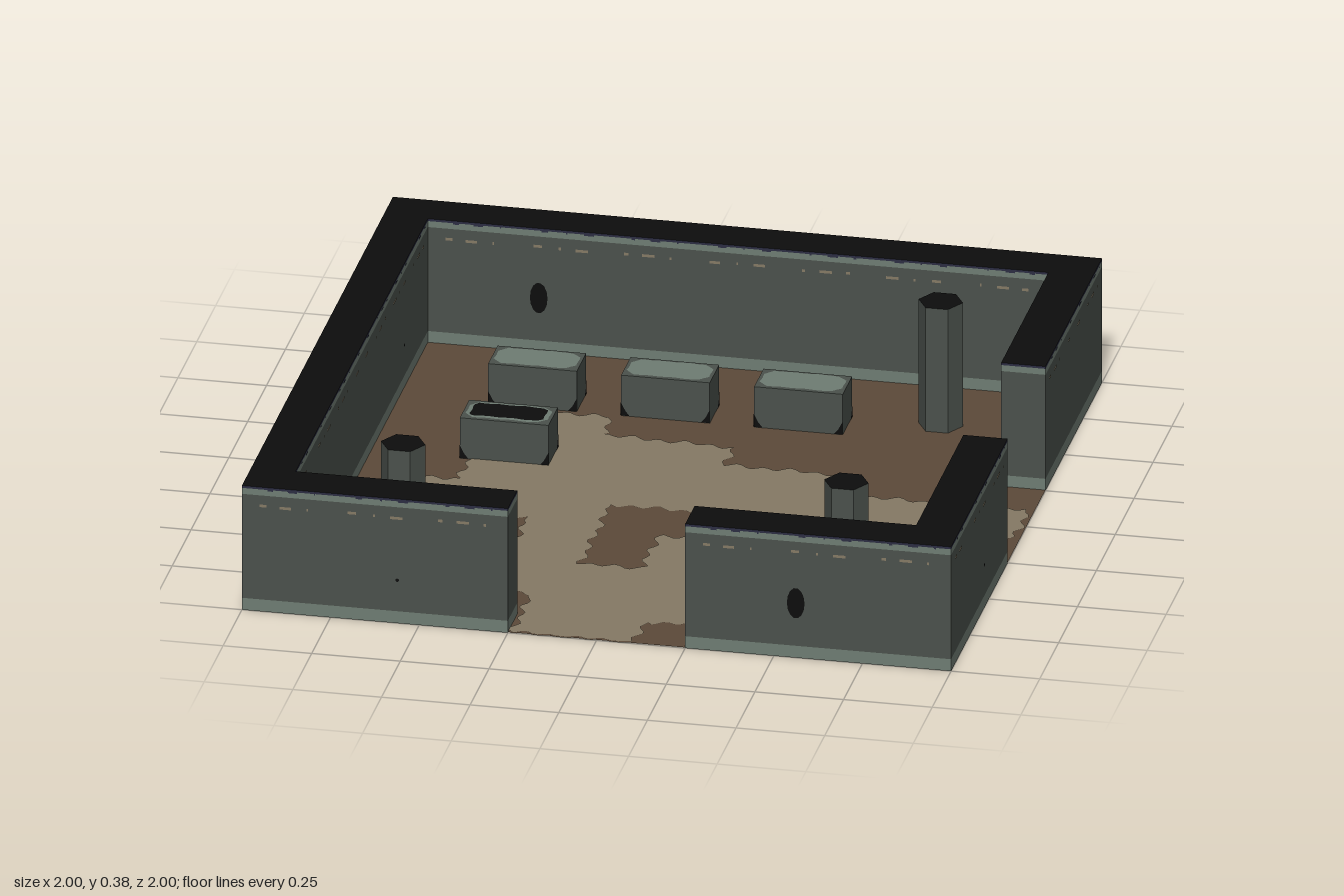
import * as THREE from 'three';
import { mergeGeometries } from 'three/addons/utils/BufferGeometryUtils.js';

const H = 0.375; // wall height

function material(name, color) {
  const m = new THREE.MeshStandardMaterial({ color, side: THREE.DoubleSide, flatShading: true });
  m.name = name;
  return m;
}

// Flat horizontal sheet from [x, z] points, with optional holes
function sheet(points, y, holes = []) {
  const v = (list) => list.map(([x, z]) => new THREE.Vector2(x, -z));
  const shape = new THREE.Shape(v(points));
  holes.forEach((h) => shape.holes.push(new THREE.Path(v(h))));
  return new THREE.ShapeGeometry(shape).rotateX(-Math.PI / 2).translate(0, y, 0);
}

// Vertical faces following a closed [x, z] outline between two heights
function band(points, y0, y1) {
  const pos = [];
  points.forEach(([ax, az], i) => {
    const [bx, bz] = points[(i + 1) % points.length];
    pos.push(ax, y0, az, bx, y0, bz, bx, y1, bz, ax, y0, az, bx, y1, bz, ax, y1, az);
  });
  const g = new THREE.BufferGeometry();
  g.setAttribute('position', new THREE.Float32BufferAttribute(pos, 3));
  g.computeVertexNormals();
  return g;
}

// Turns straight edges into scalloped, worn ones
function worn(points, amount) {
  const out = [];
  points.forEach(([ax, az], i) => {
    const [bx, bz] = points[(i + 1) % points.length];
    const len = Math.hypot(bx - ax, bz - az);
    const n = Math.max(2, Math.round(len / 0.015));
    for (let k = 0; k < n; k++) {
      const t = k / n;
      const w = amount * (Math.sin(t * len * 85 + i * 2) + 0.5 * Math.sin(t * len * 37 + i));
      const x = ax + (bx - ax) * t - ((bz - az) / len) * w;
      const z = az + (bz - az) * t + ((bx - ax) / len) * w;
      out.push([Math.min(x, 1), Math.min(z, 1)]);
    }
  });
  return out;
}

const rect = (w, d, c = 0) => [
  [-w + c, -d], [w - c, -d], [w, -d + c], [w, d - c], [w - c, d], [-w + c, d], [-w, d - c], [-w, -d + c],
];

export function createModel() {
  const model = new THREE.Group();
  model.name = 'stoneChamber';
  const stone = material('stone grey', 0x4b514c);
  const trim = material('pale stone', 0x6f7d73);
  const black = material('black', 0x0d0d0d);
  const earth = material('brown earth', 0x5c4a3a);
  const sand = material('sand', 0x857a65);
  const blue = material('blue grey', 0x4f6c74);
  const slate = material('dark slate', 0x2c2d42);

  const add = (name, geometry, mat, parent = model) => {
    const mesh = new THREE.Mesh(geometry, mat);
    mesh.name = name;
    parent.add(mesh);
    return mesh;
  };

  // Floor, reaching out through the two doorways
  add('floor', sheet([
    [-0.875, -0.875], [0.875, -0.875], [0.875, -0.25], [1, -0.25], [1, 0.25], [0.875, 0.25],
    [0.875, 0.875], [0.25, 0.875], [0.25, 1], [-0.25, 1], [-0.25, 0.875], [-0.875, 0.875],
  ], 0.002), earth);

  // Worn sandy path, seen from above and below
  const path = worn([
    [-0.6, -0.49], [-0.27, -0.48], [-0.27, -0.36], [0.1, -0.35], [0.1, -0.23], [0.48, -0.23],
    [0.48, -0.1], [0.99, -0.1], [0.98, 0.09], [0.73, 0.11], [0.73, 0.35], [0.48, 0.36],
    [0.48, 0.48], [0.23, 0.49], [0.22, 0.85], [0.11, 0.86], [0.1, 1], [-0.24, 1],
    [-0.24, 0.74], [-0.36, 0.73], [-0.36, 0.24], [-0.73, 0.22], [-0.73, 0.03], [-0.6, 0.01],
  ], 0.01);
  const bare = worn([
    [-0.15, 0.1], [0.15, 0.1], [0.15, 0.26], [0.02, 0.28], [0.02, 0.5], [-0.15, 0.51],
  ], 0.01);
  add('pathTop', sheet(path, 0.004, [bare]), sand);
  add('pathUnderside', sheet(path, 0, [bare]), sand);

  // Small stains on the floor
  [
    [0.81, -0.76, 0.024, 0.065, sand], [0.8, -0.815, 0.025, 0.008, sand],
    [0.575, -0.81, 0.02, 0.012, blue], [0.575, -0.815, 0.008, 0.008, sand],
    [-0.835, 0.285, 0.018, 0.024, sand], [-0.83, 0.315, 0.014, 0.02, blue],
    [0.68, 0.7, 0.012, 0.016, blue],
  ].forEach(([x, z, w, d, mat], i) => {
    add('floorStain', sheet(worn(rect(w, d, w * 0.3), 0.002), 0.004 + i * 0.0004).translate(x, 0, z), mat);
  });

  // Hollow walls: a corner piece and a long piece, with doorways between
  const outlines = [
    [[0.25, 1], [1, 1], [1, 0.25], [0.875, 0.25], [0.875, 0.875], [0.25, 0.875]],
    [[-0.25, 1], [-0.25, 0.875], [-0.875, 0.875], [-0.875, -0.875], [0.875, -0.875],
      [0.875, -0.25], [1, -0.25], [1, -1], [-1, -1], [-1, 1]],
  ];
  const dashes = [];
  const chips = [];
  for (const o of outlines) {
    add('wallFoot', band(o, 0, 0.036), trim);
    add('wallFace', band(o, 0.036, 0.35), stone);
    add('wallRim', band(o, 0.35, 0.368), trim);
    add('wallTopEdge', band(o, 0.368, H), slate);
    add('wallTop', sheet(o, H), black);
    // Broken sandy line and chipped rim along each long face
    o.forEach(([ax, az], i) => {
      const [bx, bz] = o[(i + 1) % o.length];
      const len = Math.hypot(bx - ax, bz - az);
      if (len < 0.2) return;
      const place = (g, s, y) => g.translate(s, y, 0.0012)
        .rotateY(Math.atan2(az - bz, bx - ax)).translate(ax, 0, az);
      for (let s = 0.06, k = 0; s < len - 0.04; s += 0.0625, k++) {
        if (k % 4 === 3) continue;
        const w = 0.02 + 0.016 * Math.sin(k * 2.3);
        dashes.push(place(new THREE.PlaneGeometry(w, 0.008), s, 0.319 + 0.002 * Math.sin(k * 5)));
        chips.push(place(new THREE.PlaneGeometry(w * 0.8, 0.005), s + 0.02, 0.367));
      }
    });
  }
  add('sandyWallLine', mergeGeometries(dashes), sand);
  add('rimChips', mergeGeometries(chips), slate);

  // Dark holes and pits in the walls: x, z, turn, half width, half height, y
  const marks = [];
  for (const s of [1, -1]) {
    for (const d of [1.001, 0.874]) {
      marks.push([0.562 * s, d * s, 0, 0.025, 0.046, 0.165]);
      marks.push([-0.562 * s, d * s, 0, 0.005, 0.005, 0.13]);
      marks.push([d * s, 0.562 * s, Math.PI / 2, 0.005, 0.005, 0.13]);
    }
  }
  for (const [x, z, turn, w, h, y] of marks) {
    const g = new THREE.CircleGeometry(1, 14).scale(w, h, 1).rotateY(turn).translate(x, y, z);
    add('wallHole', g, black);
  }

  // Six-sided pillars
  for (const [x, z] of [[0.625, -0.625], [0.625, 0.625], [-0.625, 0.625]]) {
    const g = new THREE.CylinderGeometry(0.0625, 0.0625, H, 6, 1, false, Math.PI / 2);
    add('pillar', g.translate(x, H / 2, z), [stone, black, black]);
  }

  // Stone coffins, the last one standing open
  [[-0.5, -0.5625], [-0.125, -0.5625], [0.25, -0.5625], [-0.5, -0.1875]].forEach(([x, z], i) => {
    const coffin = new THREE.Group();
    coffin.name = i === 3 ? 'openCoffin' : 'coffin';
    coffin.position.set(x, 0, z);
    model.add(coffin);
    add('coffinBody', new THREE.BoxGeometry(0.25, 0.122, 0.125).translate(0, 0.063, 0), stone, coffin);
    add('coffinLid', sheet(worn(rect(0.116, 0.052, 0.025), 0.0015), 0.1255), trim, coffin);
    if (i === 3) add('coffinOpening', sheet(worn(rect(0.104, 0.043, 0.012), 0.002), 0.127), black, coffin);
    // Dark broken lower corners
    for (let q = 0; q < 4; q++) {
      const half = q % 2 ? 0.0625 : 0.125;
      const depth = q % 2 ? 0.126 : 0.0635;
      for (const side of q % 2 ? [1] : [1, -1]) {
        const t = new THREE.Shape([
          new THREE.Vector2(half * side, 0.003), new THREE.Vector2(half * side, 0.042),
          new THREE.Vector2((half - 0.012) * side, 0.018), new THREE.Vector2((half - 0.024) * side, 0.003),
        ]);
        const g = new THREE.ShapeGeometry(t).translate(0, 0, depth).rotateY((q * Math.PI) / 2);
        add('brokenCorner', g, black, coffin);
      }
    }
  });

  return model;
}
